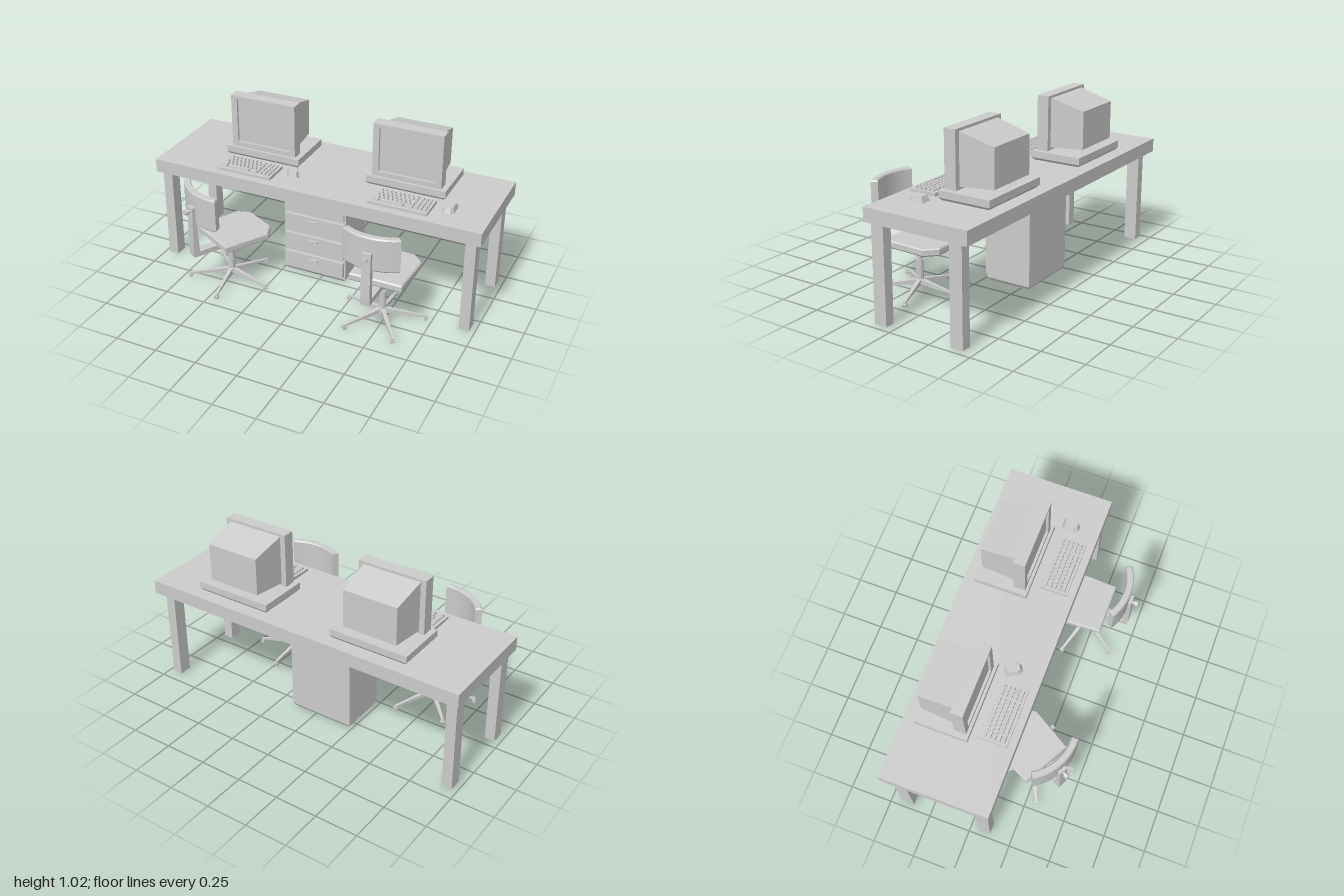
import * as THREE from 'three';

const mat = new THREE.MeshStandardMaterial({ color: 0xcccccc, flatShading: true });

function add(parent, name, geo, x = 0, y = 0, z = 0) {
  const m = new THREE.Mesh(geo, mat);
  m.name = name;
  m.position.set(x, y, z);
  parent.add(m);
  return m;
}

// Box given by its limits; the optional rule moves its corners
function block(parent, name, x0, x1, y0, y1, z0, z1, rule) {
  const geo = new THREE.BoxGeometry(x1 - x0, y1 - y0, z1 - z0);
  geo.translate((x0 + x1) / 2, (y0 + y1) / 2, (z0 + z1) / 2);
  if (rule) {
    const p = geo.attributes.position;
    const v = new THREE.Vector3();
    for (let i = 0; i < p.count; i++) {
      rule(v.fromBufferAttribute(p, i));
      p.setXYZ(i, v.x, v.y, v.z);
    }
    geo.computeVertexNormals();
  }
  return add(parent, name, geo);
}

function group(parent, name, x = 0, y = 0, z = 0) {
  const g = new THREE.Group();
  g.name = name;
  g.position.set(x, y, z);
  parent.add(g);
  return g;
}

const polygon = pts => new THREE.Shape(pts.map(p => new THREE.Vector2(p[0], p[1])));

function rect(path, x0, x1, y0, y1) {
  path.moveTo(x0, y0).lineTo(x1, y0).lineTo(x1, y1).lineTo(x0, y1).closePath();
  return path;
}

function buildDesk(root) {
  const desk = group(root, 'desk');
  block(desk, 'desktop', -1, 1, 0.57, 0.65, -0.49, 0.145);
  for (const x of [-0.94, 0.94])
    for (const z of [-0.4, 0.083])
      block(desk, 'deskLeg', x - 0.03, x + 0.03, 0.005, 0.57, z - 0.038, z + 0.038);
}

function buildDrawers(root) {
  const unit = group(root, 'drawerUnit', -0.042);
  block(unit, 'cabinet', -0.197, 0.197, 0.02, 0.54, -0.31, -0.03);
  // plinth narrows towards the floor
  block(unit, 'plinth', -0.197, 0.197, 0, 0.02, -0.31, -0.03, v => {
    if (v.y < 0.01) { v.x *= 0.93; v.z += v.z < -0.1 ? 0.015 : -0.015; }
  });
  for (const [y0, y1] of [[0.04, 0.14], [0.165, 0.27], [0.297, 0.4], [0.425, 0.53]]) {
    block(unit, 'drawerFront', -0.188, 0.188, y0, y1, -0.03, -0.012);
    block(unit, 'drawerHandle', -0.028, 0.028, y1 - 0.03, y1 - 0.018, -0.012, 0);
  }
}

function buildComputer(root, x) {
  const pc = group(root, 'computer', x);
  block(pc, 'computerCase', -0.237, 0.237, 0.665, 0.705, -0.42, -0.108);
  block(pc, 'caseFoot', -0.237, 0.237, 0.65, 0.665, -0.42, -0.108, v => {
    if (v.y < 0.66) { v.x *= 0.95; v.z += v.z < -0.2 ? 0.012 : -0.012; }
  });
  // bezel frame around a recessed screen
  const frame = rect(new THREE.Shape(), -0.205, 0.205, 0.705, 1.025);
  frame.holes.push(rect(new THREE.Path(), -0.168, 0.168, 0.735, 1.005));
  add(pc, 'monitorBezel', new THREE.ExtrudeGeometry(frame, { depth: 0.07, bevelEnabled: false }), 0, 0, -0.195);
  block(pc, 'screen', -0.168, 0.168, 0.735, 1.005, -0.195, -0.14);
  // housing tapers to the back
  block(pc, 'monitorHousing', -0.173, 0.173, 0.72, 1.01, -0.4, -0.195, v => {
    if (v.z < -0.3) { v.x *= 0.94; v.y = v.y > 0.8 ? 0.955 : 0.735; }
  });
}

function buildKeyboard(root, x) {
  const kb = group(root, 'keyboard', x, 0, 0.018);
  block(kb, 'keyboardBody', -0.172, 0.172, 0.652, 0.672, -0.082, 0.082, v => {
    if (v.z > 0) v.y -= v.y > 0.66 ? 0.004 : 0;
  });
  const key = (x0, x1, z) => block(kb, 'key', x0, x1, 0.666, 0.683, z, z + 0.022, v => {
    if (v.y > 0.675) { v.x += v.x > (x0 + x1) / 2 ? -0.003 : 0.003; v.z += v.z > z + 0.01 ? -0.003 : 0.003; }
  });
  for (let row = 0; row < 5; row++) {
    const z = -0.064 + row * 0.027;
    const shift = (row % 2) * 0.012;
    if (row === 4) {
      // bottom row with the long space bar
      key(-0.158, -0.112, z);
      key(-0.107, 0.03, z);
      key(0.035, 0.083, z);
    } else {
      key(-0.158, -0.131 + shift, z);
      for (let c = 0; c < 7; c++) key(-0.126 + shift + c * 0.0255, -0.105 + shift + c * 0.0255, z);
      key(0.0525 + shift, 0.083, z);
    }
    for (const kx of [0.092, 0.116, 0.14]) key(kx, kx + 0.02, z);
  }
}

function buildMouse(root, x, z, turn) {
  const mouse = group(root, 'mouse', x, 0.65, z);
  mouse.rotation.y = turn;
  const outline = polygon([[-0.032, 0.048], [0.032, 0.048], [0.034, -0.03], [0.018, -0.052], [-0.018, -0.052], [-0.034, -0.03]]);
  const geo = new THREE.ExtrudeGeometry(outline, { depth: 0.032, bevelEnabled: false });
  geo.rotateX(-Math.PI / 2);
  const p = geo.attributes.position;
  for (let i = 0; i < p.count; i++)
    if (p.getY(i) > 0.02) p.setXYZ(i, p.getX(i) * 0.74, p.getY(i), p.getZ(i) * 0.74);
  geo.computeVertexNormals();
  add(mouse, 'mouseBody', geo);
}

function buildChair(root, x, z, turn) {
  const chair = group(root, 'chair', x, 0, z);
  chair.rotation.y = turn;

  // five-star base with twin-wheel casters
  for (let i = 0; i < 5; i++) {
    const arm = group(chair, 'baseArm');
    arm.rotation.y = Math.PI + i * Math.PI * 0.4;
    block(arm, 'baseLeg', -0.012, 0.012, 0.045, 0.075, 0.01, 0.252, v => {
      if (v.z > 0.1) { v.x *= 0.55; v.y = v.y > 0.06 ? 0.037 : 0.028; }
    });
    add(arm, 'casterStem', new THREE.CylinderGeometry(0.004, 0.004, 0.018, 6), 0, 0.026, 0.246);
    for (const s of [-1, 1]) {
      const wheel = new THREE.CylinderGeometry(0.012, 0.012, 0.009, 8);
      wheel.rotateZ(Math.PI / 2);
      add(arm, 'casterWheel', wheel, s * 0.007, 0.018, 0.246);
    }
  }
  add(chair, 'baseHub', new THREE.CylinderGeometry(0.022, 0.03, 0.03, 10), 0, 0.062, 0);
  add(chair, 'lowerColumn', new THREE.CylinderGeometry(0.021, 0.021, 0.125, 10), 0, 0.128, 0);
  add(chair, 'upperColumn', new THREE.CylinderGeometry(0.014, 0.014, 0.1, 10), 0, 0.238, 0);

  // seat pad with a chamfered front
  const outline = polygon([[-0.148, -0.118], [0.148, -0.118], [0.16, 0.148], [0.1, 0.208], [-0.1, 0.208], [-0.16, 0.148]]);
  const seat = new THREE.ExtrudeGeometry(outline, { depth: 0.029, bevelThickness: 0.008, bevelSize: 0.007, bevelSegments: 1 });
  seat.rotateX(-Math.PI / 2);
  add(chair, 'seat', seat, 0, 0.293, 0);

  // L-shaped back support, drawn in side profile
  const side = polygon([[-0.065, 0.237], [0.258, 0.246], [0.261, 0.3], [0.256, 0.565], [0.234, 0.565], [0.222, 0.275], [-0.065, 0.271]]);
  const support = new THREE.ExtrudeGeometry(side, { depth: 0.052, bevelEnabled: false });
  support.rotateY(-Math.PI / 2);
  add(chair, 'backSupport', support, 0.026, 0, 0);
  for (const [r, len, kz] of [[0.009, 0.04, 0.265], [0.016, 0.02, 0.28]]) {
    const knob = new THREE.CylinderGeometry(r, r, len, 8);
    knob.rotateX(Math.PI / 2);
    add(chair, 'adjustmentKnob', knob, 0, 0.54, kz);
  }

  // curved backrest: an arc-shaped plan raised upwards
  const half = 0.53;
  const plan = new THREE.Shape();
  plan.absarc(0, 0, 0.314, Math.PI / 2 - half, Math.PI / 2 + half, false);
  plan.absarc(0, 0, 0.286, Math.PI / 2 + half, Math.PI / 2 - half, true);
  plan.closePath();
  const back = new THREE.ExtrudeGeometry(plan, { depth: 0.184, bevelThickness: 0.008, bevelSize: 0.006, bevelSegments: 1, curveSegments: 8 });
  back.rotateX(Math.PI / 2);
  add(chair, 'backrest', back, 0, 0.647, -0.083);
}

export function createModel() {
  const root = new THREE.Group();
  root.name = 'doubleWorkstation';
  buildDesk(root);
  buildDrawers(root);
  buildComputer(root, -0.422);
  buildComputer(root, 0.473);
  buildKeyboard(root, -0.438);
  buildKeyboard(root, 0.507);
  buildMouse(root, -0.18, -0.027, 0.55);
  buildMouse(root, 0.767, -0.027, 0);
  buildChair(root, -0.48, 0.2, -0.49);
  buildChair(root, 0.485, 0.2, 0);
  return root;
}
